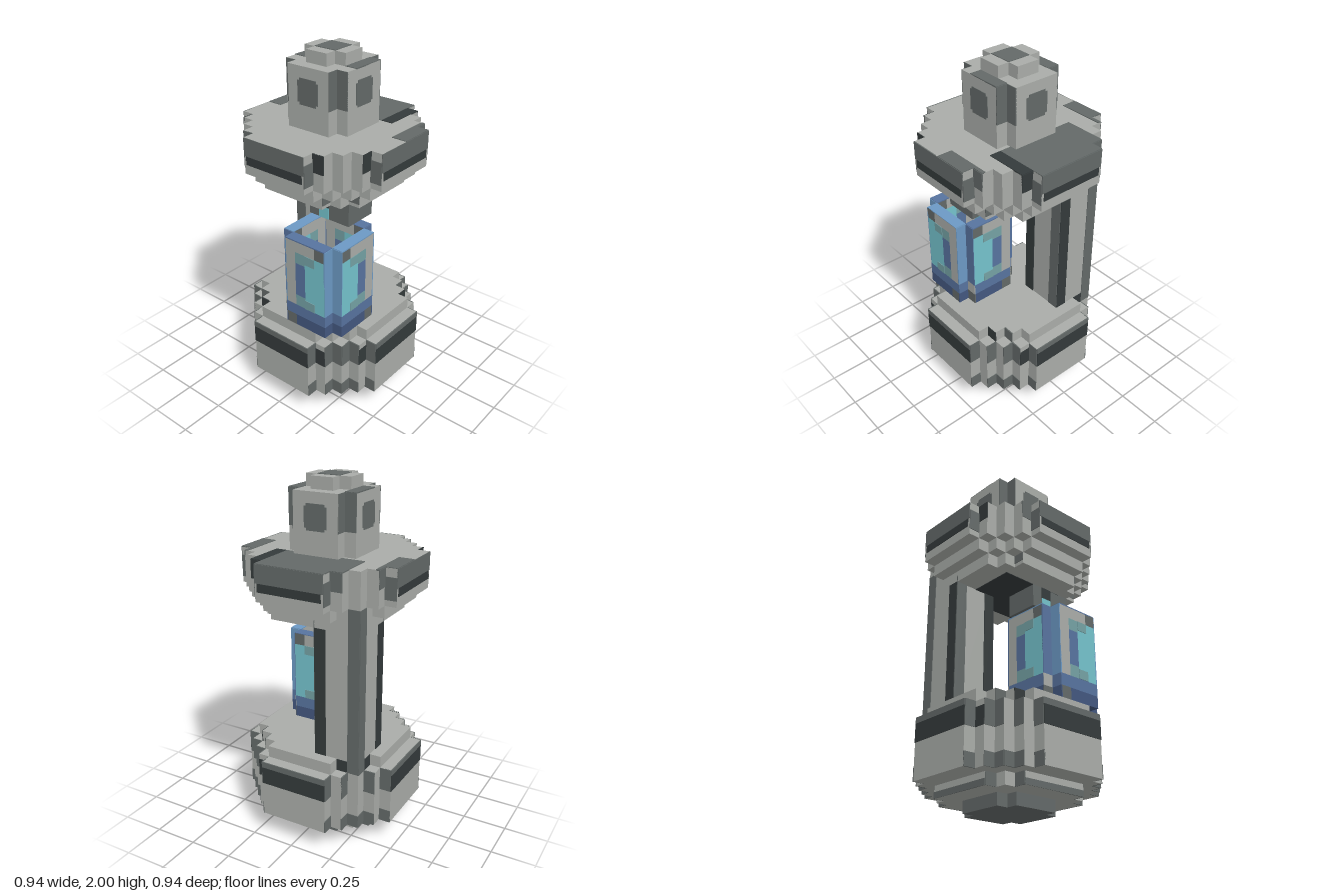
import * as THREE from 'three';

const U = 1 / 15; // one block of the grid

const mat = (name, color) => Object.assign(new THREE.MeshStandardMaterial({ color }), { name });
const light = mat('light grey', 0xa9aca8);
const grey = mat('mid grey', 0x636968);
const dark = mat('charcoal', 0x343a3b);
const blue = mat('blue', 0x57739f);
const sky = mat('light blue', 0x6c99c4);
const navy = mat('deep blue', 0x43577f);
const cyan = mat('cyan', 0x74c2cc);
const teal = mat('grey teal', 0x74a1a4);

// Box from its limits, in blocks
function box(parent, name, m, x0, x1, y0, y1, z0, z1) {
  const mesh = new THREE.Mesh(new THREE.BoxGeometry((x1 - x0) * U, (y1 - y0) * U, (z1 - z0) * U), m);
  mesh.position.set((x0 + x1) / 2 * U, (y0 + y1) / 2 * U, (z0 + z1) / 2 * U);
  mesh.name = name;
  parent.add(mesh);
  return mesh;
}

// Same box on one of the four sides: 0 front, 1 +x, 2 back, 3 -x
function sideBox(parent, name, m, k, x0, x1, y0, y1, z0, z1) {
  if (k >= 2) [z0, z1] = [-z1, -z0];
  if (k % 2) box(parent, name, m, z0, z1, y0, y1, x0, x1);
  else box(parent, name, m, x0, x1, y0, y1, z0, z1);
}

// Thin painted plate on a side face at distance z
const paint = (parent, name, m, k, x0, x1, y0, y1, z) =>
  sideBox(parent, name, m, k, x0, x1, y0, y1, z - 0.05, z + 0.05);

// Thin painted plate lying flat at height y
const paintFlat = (parent, name, m, x0, x1, z0, z1, y) =>
  box(parent, name, m, x0, x1, y - 0.05, y + 0.05, z0, z1);

// Slab with stair-stepped corners: radius r, flat side half-width f
function slab(parent, name, m, r, f, y0, y1) {
  const pts = [];
  for (let q = 0; q < 4; q++) {
    const quarter = [];
    for (let k = 0; k < r - f; k++) quarter.push([r - k, f + k], [r - k - 1, f + k]);
    quarter.push([f, r]);
    for (let [x, y] of quarter) {
      for (let i = 0; i < q; i++) [x, y] = [-y, x];
      pts.push(new THREE.Vector2(x * U, y * U));
    }
  }
  const g = new THREE.ExtrudeGeometry(new THREE.Shape(pts), { depth: (y1 - y0) * U, bevelEnabled: false });
  g.rotateX(-Math.PI / 2).translate(0, y0 * U, 0);
  const mesh = new THREE.Mesh(g, m);
  mesh.name = name;
  parent.add(mesh);
}

function group(parent, name, x = 0, z = 0) {
  const g = new THREE.Group();
  g.name = name;
  g.position.set(x * U, 0, z * U);
  parent.add(g);
  return g;
}

function buildBase(root) {
  const g = group(root, 'base');
  slab(g, 'foot', grey, 3, 2, 0, 1);
  slab(g, 'lowerStep', light, 5, 3, 1, 2);
  slab(g, 'body', light, 7, 3, 2, 7);
  slab(g, 'upperStep', light, 6, 3, 7, 8);
  for (let k = 0; k < 4; k++) {
    paint(g, 'darkBand', dark, k, -3, 3, 5, 6.5, 7);
    paint(g, 'bandEdge', grey, k, -3, 3, 6.5, 7, 7);
    paint(g, 'bandEnd', dark, k, 3, 4, 5, 6.5, 6);
    for (const i of [4, 5, 6]) {
      paint(g, 'cornerShade', grey, k, i, i + 1, 5, 7, 9 - i);
      if (i > 4) paint(g, 'cornerShade', grey, k, -i - 1, -i, 5, 7, 9 - i);
      paint(g, 'lowerCorner', grey, k, i, i + 1, 2, 3.1, 9 - i);
      paint(g, 'lowerCorner', grey, k, -i - 1, -i, 2, 3.1, 9 - i);
    }
    paint(g, 'stepShade', dark, k, -4, -3, 7, 8, 5);
    paint(g, 'stepShade', grey, k, -5, -4, 7, 8, 4);
    for (const s of [-1, 1]) paint(g, 'lowerStepShade', grey, k, 4 * s - 0.5 + s * 0.5, 4 * s + 0.5 + s * 0.5, 1, 2, 3);
    paint(g, 'lowerStepTrim', grey, k, -3, 3, 1, 1.5, 5);
  }
}

function buildColumn(root) {
  const g = group(root, 'column', -3, -3);
  box(g, 'post', light, -2, 2, 7, 21, -2, 2);
  for (let k = 0; k < 4; k++) {
    paint(g, 'darkStripe', dark, k, 1, 2, 8, 19, 2);
    paint(g, 'greyStripe', grey, k, -2, -1, 7, 21, 2);
  }
}

function buildGlass(root) {
  const g = group(root, 'glassChamber', 2, 3);
  // Wall panels: x limits, y limits, colour
  const panels = [
    [1, 2, 15, 16, grey], [-2, 1, 15, 16, light],
    [0, 2, 10, 15, cyan], [-1, 0, 11, 14, blue],
    [-1, 0, 10, 11, teal], [-1, 0, 14, 15, teal],
    [-2, -1, 10, 15, light],
    [-2, 2, 9, 10, blue], [-1, 2, 8, 9, navy], [-2, -1, 8, 9, grey],
  ];
  for (let k = 0; k < 4; k++) {
    for (const [x0, x1, y0, y1, m] of panels) sideBox(g, 'wallPanel', m, k, x0, x1, y0, y1, 2, 3);
    paint(g, 'panelCorner', teal, k, 0, 1, 14.2, 15, 3);
    paint(g, 'panelCorner', teal, k, 0, 1, 10, 10.8, 3);
    // Recessed corner faces
    paint(g, 'cornerGlass', sky, k, 2, 3, 10, 16, 2);
    paint(g, 'cornerLow', blue, k, 2, 3, 9, 10, 2);
    paint(g, 'cornerFoot', navy, k, 2, 3, 8, 9, 2);
    paint(g, 'cornerGlass', blue, k, -3, -2, 10, 16, 2);
    paint(g, 'cornerLow', light, k, -3, -2, 9, 10, 2);
    paint(g, 'cornerFoot', grey, k, -3, -2, 8, 9, 2);
    sideBox(g, 'rim', k % 2 ? sky : blue, k, -2, 2, 15.95, 16.05, 2, 3);
  }
}

function buildHead(root) {
  const g = group(root, 'head');
  slab(g, 'lowerStep', light, 5, 3, 19, 20);
  slab(g, 'middleStep', light, 6, 3, 20, 21);
  slab(g, 'plate', light, 7, 3, 21, 24);
  paintFlat(g, 'underside', dark, -3, 3, -3, 3, 19);
  for (let k = 0; k < 4; k++) {
    paint(g, 'bandTop', grey, k, -3, 3, 22.5, 24, 7);
    paint(g, 'darkBand', dark, k, -2.8, 2.8, 21.8, 22.5, 7);
    paint(g, 'bandEnd', dark, k, 3, 4, 22.5, 24, 6);
    paint(g, 'bandEnd', grey, k, -4, -3, 22.5, 24, 6);
    for (const x of [-7, 6]) paint(g, 'cornerPatch', grey, k, x, x + 1, 21.5, 23.3, 3);
    paint(g, 'stepShade', grey, k, 4, 5, 19.3, 20, 3);
  }
  // Patches on the plate top
  paintFlat(g, 'backPatch', grey, -3, 3, -7, -6, 24);
  paintFlat(g, 'backPatch', grey, -4, 3, -6, -2.4, 24);
  paintFlat(g, 'backPatchEdge', dark, 3, 4, -6, -2.4, 24);
  for (const s of [-1, 1]) {
    paintFlat(g, 'sidePatch', grey, 6.35 * s - 0.65, 6.35 * s + 0.65, -3, 0, 24);
    paintFlat(g, 'sidePatch', grey, 5.85 * s - 0.15, 5.85 * s + 0.15, -4, -3, 24);
  }

  const t = group(root, 'tower');
  slab(t, 'shaft', light, 3, 2, 24, 29);
  slab(t, 'cap', light, 2, 1, 29, 30);
  paintFlat(t, 'capPatch', grey, -1, 1, -1, 1, 30);
  for (const x of [-3, 2]) paintFlat(t, 'shoulderPatch', grey, x, x + 1, -2, 1, 29);
  for (let k = 0; k < 4; k++) {
    paint(t, 'window', grey, k, -1, 1, 26.2, 27.9, 3);
    paint(t, 'window', grey, k, -0.8, 0.8, 26, 28.1, 3);
    for (const x of [-3, 2]) paint(t, 'cornerShade', grey, k, x, x + 1, 26, 29, 2);
  }
}

function buildNozzle(root) {
  const g = group(root, 'nozzle');
  box(g, 'block', grey, 0, 4, 17, 19, 0, 3);
  box(g, 'lamp', cyan, 1, 2, 17, 18, 2.95, 3.05);
  box(g, 'lampSocket', dark, 1, 2, 18, 19, 2.95, 3.05);
  box(g, 'sidePort', dark, 3.95, 4.05, 18.2, 19, 0.9, 1.6);
}

export function createModel() {
  const root = new THREE.Group();
  root.name = 'chamberTower';
  buildBase(root);
  buildColumn(root);
  buildGlass(root);
  buildHead(root);
  buildNozzle(root);
  return root;
}
